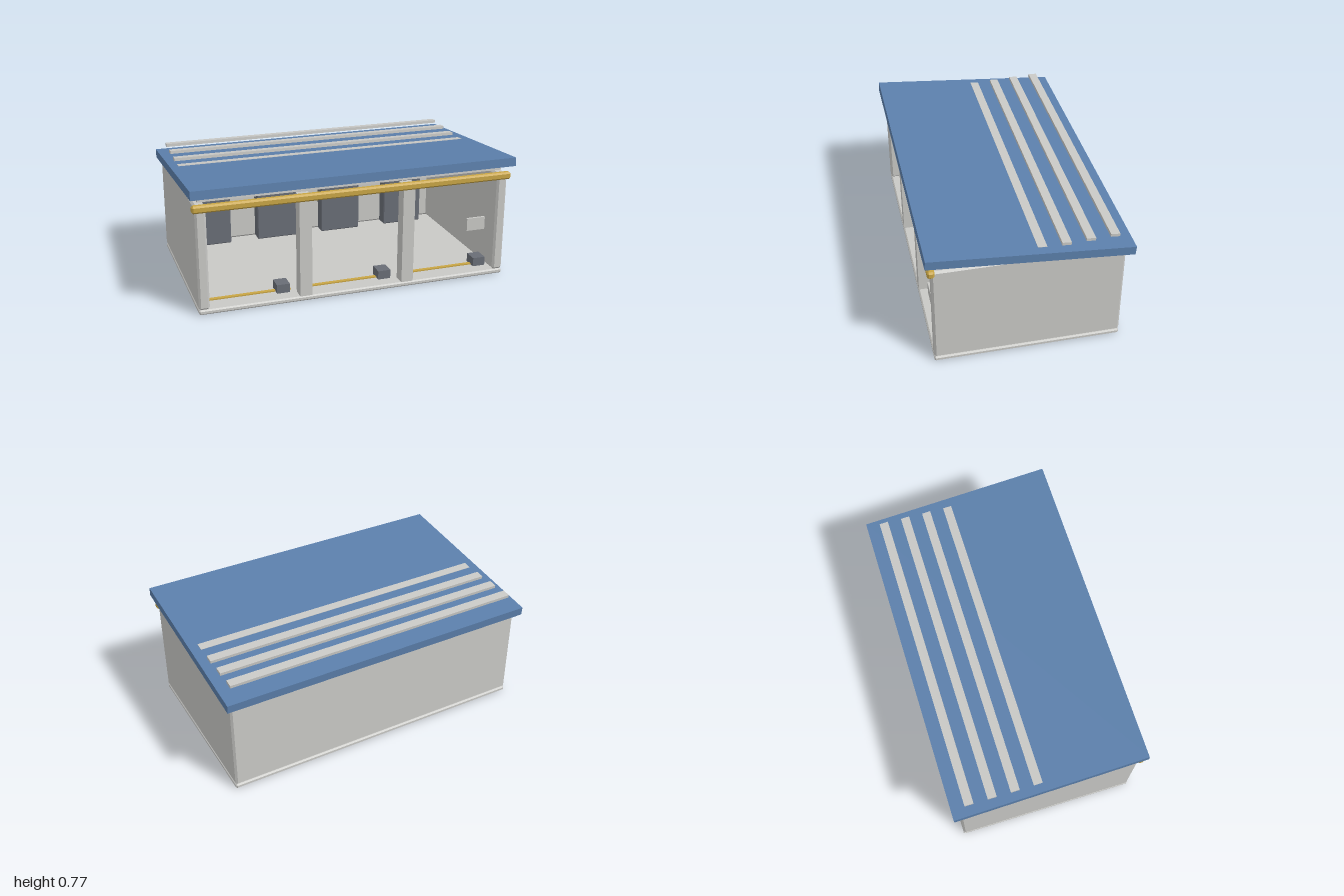
import * as THREE from 'three';
import { ConvexGeometry } from 'three/addons/geometries/ConvexGeometry.js';

const mat = (name, color) => {
  const m = new THREE.MeshStandardMaterial({ color });
  m.name = name;
  return m;
};

// Box with chamfered edges, built as the hull of its 24 corners
function chamferBox(w, h, d, c) {
  const pts = [];
  for (const sx of [-1, 1]) for (const sy of [-1, 1]) for (const sz of [-1, 1]) {
    for (let axis = 0; axis < 3; axis++) {
      const inset = [c, c, c];
      inset[axis] = 0;
      pts.push(new THREE.Vector3(
        sx * (w / 2 - inset[0]), sy * (h / 2 - inset[1]), sz * (d / 2 - inset[2])));
    }
  }
  return new ConvexGeometry(pts);
}

export function createModel() {
  const model = new THREE.Group();
  model.name = 'openFrontedShed';

  const concrete = mat('paleGrey', 0xc8c8c5);
  const blue = mat('roofBlue', 0x5b7fab);
  const yellow = mat('safetyYellow', 0xc8a545);
  const dark = mat('slateGrey', 0x696d76);

  // Add a box by its extents: [min, max] along x, y and z
  const add = (name, material, [x0, x1], [y0, y1], [z0, z1], chamfer = 0) => {
    const w = x1 - x0, h = y1 - y0, d = z1 - z0;
    const geo = chamfer ? chamferBox(w, h, d, chamfer) : new THREE.BoxGeometry(w, h, d);
    const mesh = new THREE.Mesh(geo, material);
    mesh.name = name;
    mesh.position.set((x0 + x1) / 2, (y0 + y1) / 2, (z0 + z1) / 2);
    model.add(mesh);
    return mesh;
  };
  const around = (c, size) => [c - size / 2, c + size / 2];

  const cx = -0.003;            // middle of the building under the roof
  const bay = 0.647;            // spacing of the three bays
  const pitch = -0.08;          // roof tilt, high at the front

  // Floor slab and walls
  add('floorSlab', concrete, around(cx, 1.94), [0, 0.03], [-0.55, 0.56], 0.008);
  add('backWall', concrete, around(cx, 1.94), [0.03, 0.665], [-0.55, -0.485], 0.012);
  for (const s of [-1, 1]) {
    add('sideWall', concrete, around(cx + s * 0.9375, 0.065), [0.03, 0.665], [-0.55, 0.56], 0.012);
    add('frontPost', concrete, around(cx + s * bay / 2, 0.075), [0.03, 0.66], [0.48, 0.557]);
  }

  // Cabinets standing along the back wall
  for (const x of [-0.695, -0.235, 0.218, 0.68]) {
    add('cabinet', dark, around(x, 0.275), [0.03, 0.363], [-0.49, -0.405], 0.006);
  }

  // Floor line and small block in each bay
  for (const i of [-1, 0, 1]) {
    const x = cx + i * bay;
    add('floorLine', yellow, around(x, 0.52), [0.028, 0.037], around(0.43, 0.025));
    add('floorBlock', dark, around(x + 0.205, 0.08), [0.03, 0.085], around(0.43, 0.09));
  }

  // Small sign plate at the front
  add('signPlate', concrete, around(0.775, 0.12), [0.31, 0.39], around(0.54, 0.015));

  // Beam along the front eave
  add('frontBeam', yellow, around(cx - 0.002, 1.972), [0.63, 0.675], around(0.56, 0.042), 0.01);

  // Sloping roof
  const roof = add('roof', blue, [-1, 1], around(0.696, 0.053), around(0, 1.192));
  roof.rotation.x = pitch;

  // Slats crossing the roof at a shallower angle
  for (let i = 0; i < 8; i++) {
    const z = 0.49 - i * 0.1395;
    const slat = add('roofSlat', concrete, around(cx, 1.89), around(0.707 - 0.049 * z, 0.018), around(z, 0.054));
    slat.rotation.x = pitch;
  }
  return model;
}
